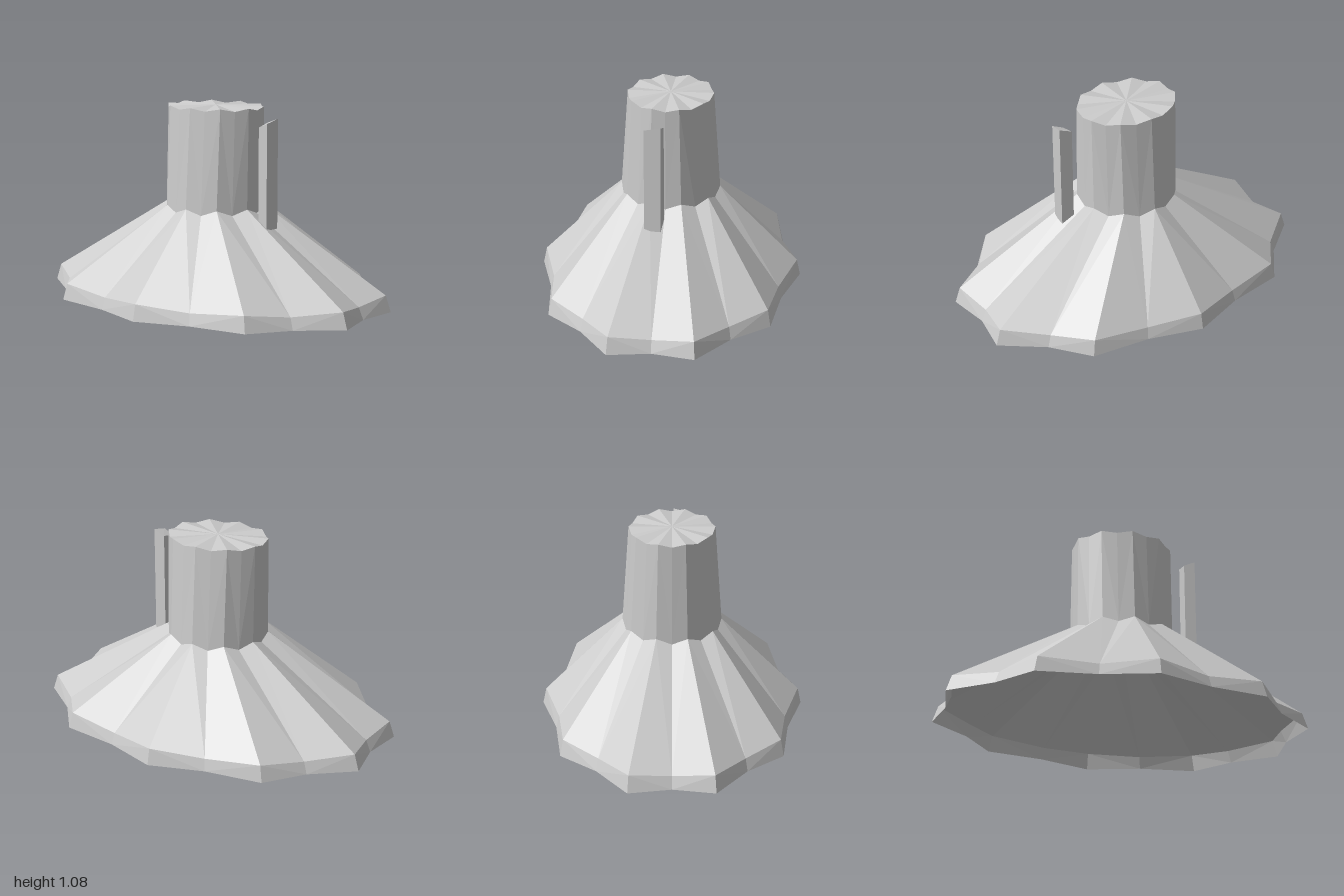
import * as THREE from 'three';

const SIDES = 20;
const material = new THREE.MeshStandardMaterial({ color: 0xcccccc, flatShading: true, side: THREE.DoubleSide });

// Fluted elliptical ring: even points are valleys, odd points are ridges
function ring({ a, b, y, valley, valleyY }) {
  return Array.from({ length: SIDES }, (_, i) => {
    const t = (i / SIDES) * Math.PI * 2;
    const ridge = i % 2 === 1;
    const s = ridge ? 1 : valley;
    return [a * s * Math.cos(t), ridge ? y : valleyY, b * s * Math.sin(t)];
  });
}

// Joins rings from bottom to top; an optional apex closes the last one with a fan
function loft(name, rings, apex) {
  const pos = rings.flat(2);
  const index = [];
  const n = rings[0].length;
  for (let r = 0; r < rings.length - 1; r++) {
    for (let i = 0; i < n; i++) {
      const j = (i + 1) % n;
      const a = r * n + i, b = r * n + j, c = a + n, d = b + n;
      // Diagonals mirror about each ridge
      if (i % 2) index.push(a, c, b, b, c, d);
      else index.push(a, c, d, a, d, b);
    }
  }
  if (apex) {
    const top = (rings.length - 1) * n;
    pos.push(...apex);
    for (let i = 0; i < n; i++) index.push(top + i, rings.length * n, top + ((i + 1) % n));
  }
  const indexed = new THREE.BufferGeometry();
  indexed.setAttribute('position', new THREE.Float32BufferAttribute(pos, 3));
  indexed.setIndex(index);
  const geometry = indexed.toNonIndexed();
  geometry.computeVertexNormals();
  const mesh = new THREE.Mesh(geometry, material);
  mesh.name = name;
  return mesh;
}

export function createModel() {
  const group = new THREE.Group();
  group.name = 'flutedSkirtAndNeck';

  const hem = ring({ a: 1.05, b: 0.74, y: 0, valley: 0.915, valleyY: 0 });
  const hemTop = ring({ a: 1.02, b: 0.72, y: 0.09, valley: 0.915, valleyY: 0.065 });
  const collar = ring({ a: 0.287, b: 0.277, y: 0.53, valley: 0.97, valleyY: 0.5 });
  const rim = ring({ a: 0.287, b: 0.237, y: 1.08, valley: 0.97, valleyY: 1.065 });

  // Hollow skirt with a short, steep hem
  group.add(loft('skirt', [hem, hemTop, collar]));

  // Neck, open below and closed by a pleated cap
  group.add(loft('neck', [collar, rim], [0, 1.08, 0]));

  // Thin upright post on the sloping side, with a slanted top
  const postBottom = [[0.35, 0.47, 0], [0.42, 0.43, 0.01], [0.41, 0.43, 0.1], [0.35, 0.47, 0.09]];
  const topHeights = [1.005, 1.03, 1.01, 0.985];
  const postTop = postBottom.map(([x, , z], i) => [x, topHeights[i], z]);
  group.add(loft('post', [postBottom, postTop], [0.383, 1.008, 0.05]));

  return group;
}
